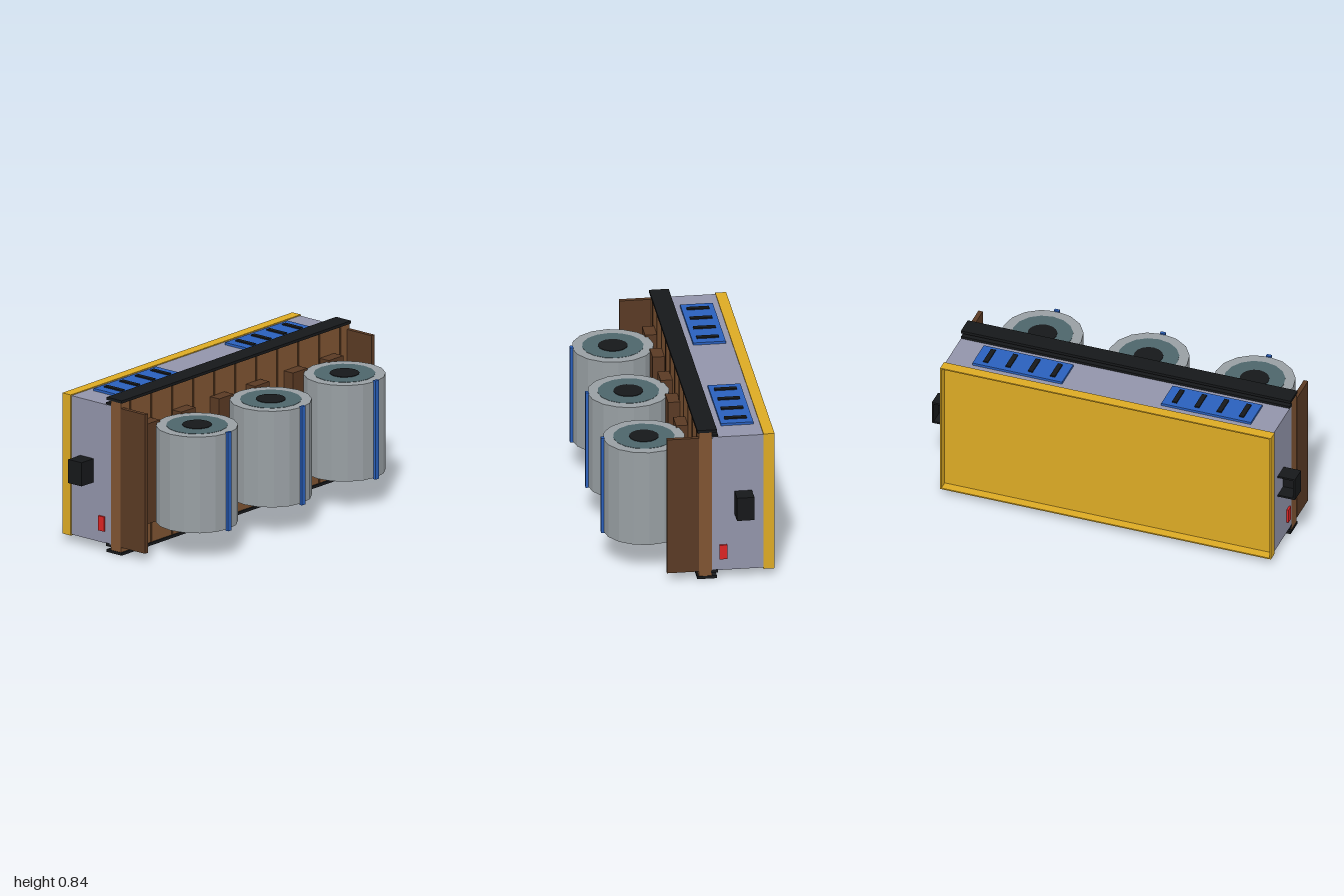
import * as THREE from 'three';

const mat = (color) => new THREE.MeshStandardMaterial({ color, flatShading: true });

export function createModel() {
  const M = {
    brown: mat(0x7f5432), dark: mat(0x5a3a24), groove: mat(0x4e321c), black: mat(0x16181a),
    body: mat(0x9294aa), yellow: mat(0xdcaa24), blue: mat(0x2a60bc), red: mat(0xdc2424),
    steel: mat(0x989fa3), teal: mat(0x4d656b),
  };
  const model = new THREE.Group();

  // Box given by its extents on each axis
  const box = (name, m, [x0, x1], [y0, y1], [z0, z1], parent = model) => {
    const mesh = new THREE.Mesh(new THREE.BoxGeometry(x1 - x0, y1 - y0, z1 - z0), m);
    mesh.position.set((x0 + x1) / 2, (y0 + y1) / 2, (z0 + z1) / 2);
    mesh.name = name;
    parent.add(mesh);
  };
  // Ranges mirrored to the side s, across x = 0 or across mid-height
  const midY = 0.419;
  const side = (s, a, b) => (s > 0 ? [a, b] : [-b, -a]);
  const level = (s, a, b) => (s > 0 ? [midY + a, midY + b] : [midY - b, midY - a]);

  // Body and plank deck
  box('body', M.body, [-0.905, 0.905], [0.044, 0.795], [-0.373, -0.105]);
  box('deck', M.brown, [-0.905, 0.905], [0.015, 0.823], [-0.105, -0.036]);
  for (let i = -5; i <= 5; i++) {
    const x = i * 0.166;
    box('plankSeam', M.groove, [x - 0.006, x + 0.006], [0.015, 0.823], [-0.04, -0.033]);
  }

  // Back panel sunk deep inside a thin rim
  box('backPanel', M.yellow, [-0.906, 0.906], [0.044, 0.795], [-0.38, -0.373]);
  for (const s of [-1, 1]) {
    box('backRimSide', M.yellow, side(s, 0.904, 0.911), [0.039, 0.8], [-0.43, -0.373]);
    box('backRimLong', M.yellow, [-0.904, 0.904], level(s, 0.374, 0.381), [-0.43, -0.373]);
  }

  // Edge rails and vented panels along both long edges
  for (const s of [-1, 1]) {
    box('edgeRail', M.black, [-0.908, 0.908], level(s, 0.404, 0.419), [-0.13, -0.028]);
    box('edgeStrip', M.black, [-0.905, 0.905], level(s, 0.37, 0.389), [-0.136, -0.1]);
    for (const c of [-0.52, 0.52]) {
      box('ventPanel', M.blue, [c - 0.247, c + 0.247], level(s, 0.37, 0.389), [-0.34, -0.17]);
      for (let i = 0; i < 4; i++) {
        const x = c + (i - 1.5) * 0.123;
        box('ventSlot', M.black, [x - 0.013, x + 0.013], level(s, 0.385, 0.396), [-0.312, -0.196]);
      }
    }
  }

  // End walls, hollow couplers open towards the back, and red lamps
  for (const s of [-1, 1]) {
    box('endWall', M.dark, side(s, 0.884, 0.908), [0.043, 0.795], [-0.036, 0.13]);
    box('lamp', M.red, side(s, 0.9, 0.916), [0.108, 0.187], [-0.183, -0.143]);
    const coupler = new THREE.Group();
    coupler.name = 'coupler';
    model.add(coupler);
    const depth = [-0.313, -0.222];
    box('couplerTop', M.black, side(s, 0.9, 1), [0.475, 0.485], depth, coupler);
    box('couplerBottom', M.black, side(s, 0.9, 1), [0.357, 0.367], depth, coupler);
    box('couplerEnd', M.black, side(s, 0.99, 1), [0.367, 0.475], depth, coupler);
    box('couplerWall', M.black, side(s, 0.9, 0.99), [0.367, 0.475], [-0.232, -0.222], coupler);
  }

  // Three steel coils with banding straps, each held by two chocks
  const drum = (name, m, r, h, parent) => {
    const mesh = new THREE.Mesh(new THREE.CylinderGeometry(r, r, h, 16), m);
    mesh.name = name;
    parent.add(mesh);
  };
  for (const x of [-0.584, 0, 0.584]) {
    const coil = new THREE.Group();
    coil.name = 'coil';
    coil.position.set(x, midY, 0.206);
    drum('coilOuter', M.steel, 0.213, 0.52, coil);
    drum('coilWinding', M.teal, 0.16, 0.523, coil);
    drum('coilCore', M.black, 0.077, 0.529, coil);
    box('strap', M.blue, [-0.014, 0.014], [-0.267, 0.267], [0.207, 0.224], coil);
    model.add(coil);
    for (const s of [-1, 1]) {
      const c = x + s * 0.142;
      box('chock', M.dark, [c - 0.057, c + 0.057], [0.148, 0.69], [-0.04, 0.026]);
    }
  }
  return model;
}
